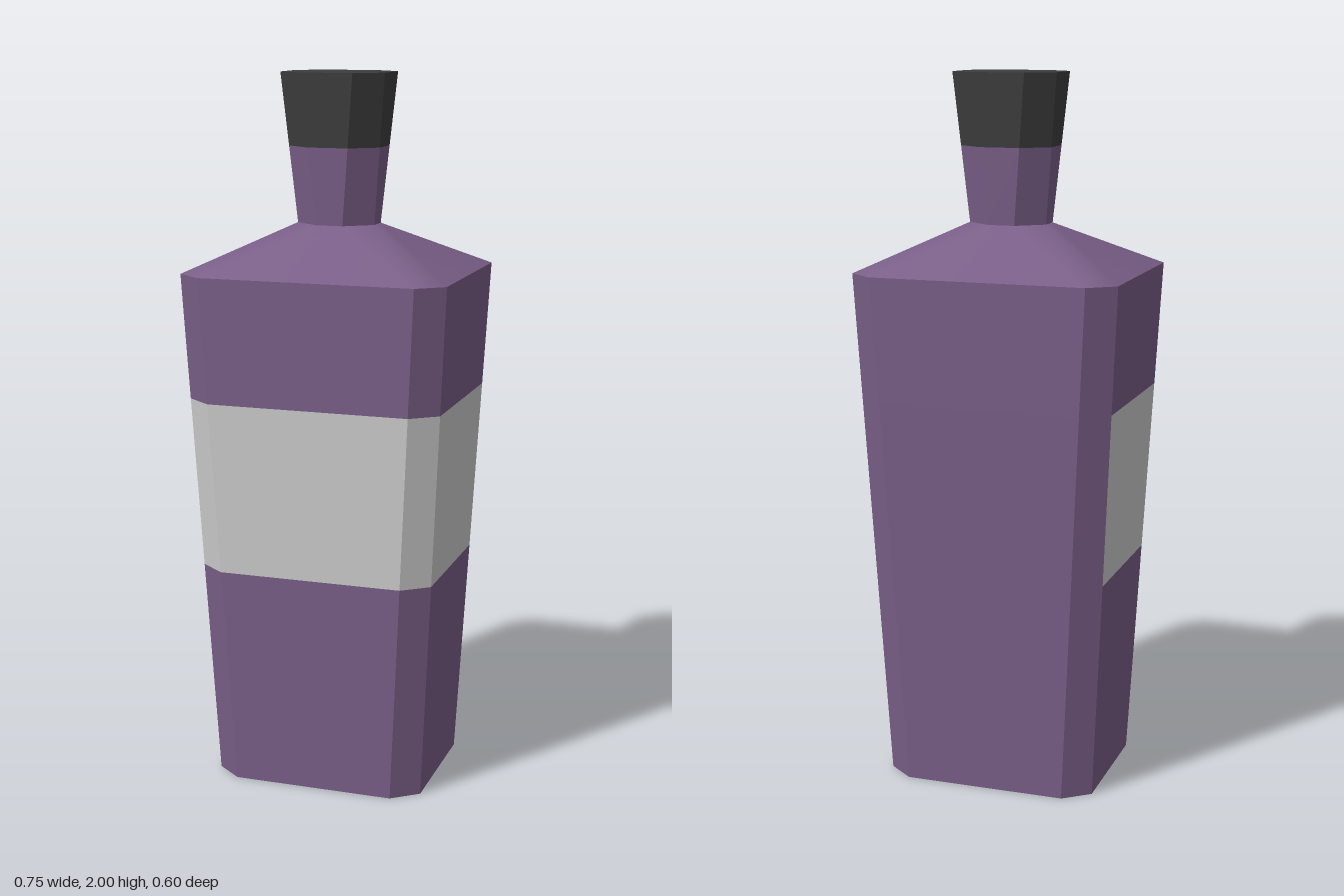
import * as THREE from 'three';

const CHAMFER_X = 0.073, CHAMFER_Z = 0.058;

// Eight-sided cross-section, anticlockwise seen from above, starting at the front side
function section(y, hx, hz) {
  const ix = hx - CHAMFER_X, iz = hz - CHAMFER_Z;
  return [[-ix, hz], [ix, hz], [hx, iz], [hx, -iz], [ix, -hz], [-ix, -hz], [-hx, -iz], [-hx, iz]]
    .map(([x, z]) => new THREE.Vector3(x, y, z));
}

// Cross-section at height y on the straight taper between two others
function sectionAt(low, high, y) {
  const t = (y - low[0].y) / (high[0].y - low[0].y);
  return low.map((p, i) => p.clone().lerp(high[i], t));
}

// Chosen sides of the wall joining a lower and an upper section
const ALL = [0, 1, 2, 3, 4, 5, 6, 7];
function wall(low, high, sides = ALL) {
  const index = [];
  for (const i of sides) {
    const j = (i + 1) % 8;
    index.push(i, j, j + 8, i, j + 8, i + 8);
  }
  return new THREE.BufferGeometry().setFromPoints([...low, ...high]).setIndex(index);
}

// Flat lid over a section, facing up or down
function lid(ring, up) {
  const index = [];
  for (let i = 1; i < 7; i++) index.push(0, up ? i : i + 1, up ? i + 1 : i);
  return new THREE.BufferGeometry().setFromPoints(ring).setIndex(index);
}

export function createModel() {
  const group = new THREE.Group();
  const purple = new THREE.MeshStandardMaterial({ color: 0x7a5f88 });
  const black = new THREE.MeshStandardMaterial({ color: 0x3d3d3d });
  const grey = new THREE.MeshStandardMaterial({ color: 0xcccccc });

  function add(name, geometry, material, smooth = false) {
    const g = smooth ? geometry : geometry.toNonIndexed();
    g.computeVertexNormals();
    const mesh = new THREE.Mesh(g, material);
    mesh.name = name;
    group.add(mesh);
  }

  // Key sections from base to top
  const base = section(0, 0.303, 0.243);
  const shoulder = section(1.46, 0.377, 0.302);
  const neckBase = section(1.588, 0.111, 0.088);
  const top = section(2, 0.149, 0.119);
  const labelLow = sectionAt(base, shoulder, 0.625);
  const labelHigh = sectionAt(base, shoulder, 1.11);
  const capLow = sectionAt(neckBase, top, 1.8);

  // Tapered body; the label wraps the front and both sides, leaving the back plain
  add('bottom', lid(base, false), purple);
  add('lowerBody', wall(base, labelLow), purple);
  add('label', wall(labelLow, labelHigh, [6, 7, 0, 1, 2]), grey);
  add('bodyBack', wall(labelLow, labelHigh, [3, 4, 5]), purple);
  add('upperBody', wall(labelHigh, shoulder), purple);

  // Softly shaded sloping shoulder
  add('shoulder', wall(shoulder, neckBase), purple, true);

  // Flared neck and stopper
  add('neck', wall(neckBase, capLow), purple);
  add('cap', wall(capLow, top), black);
  add('capTop', lid(top, true), black);

  return group;
}
